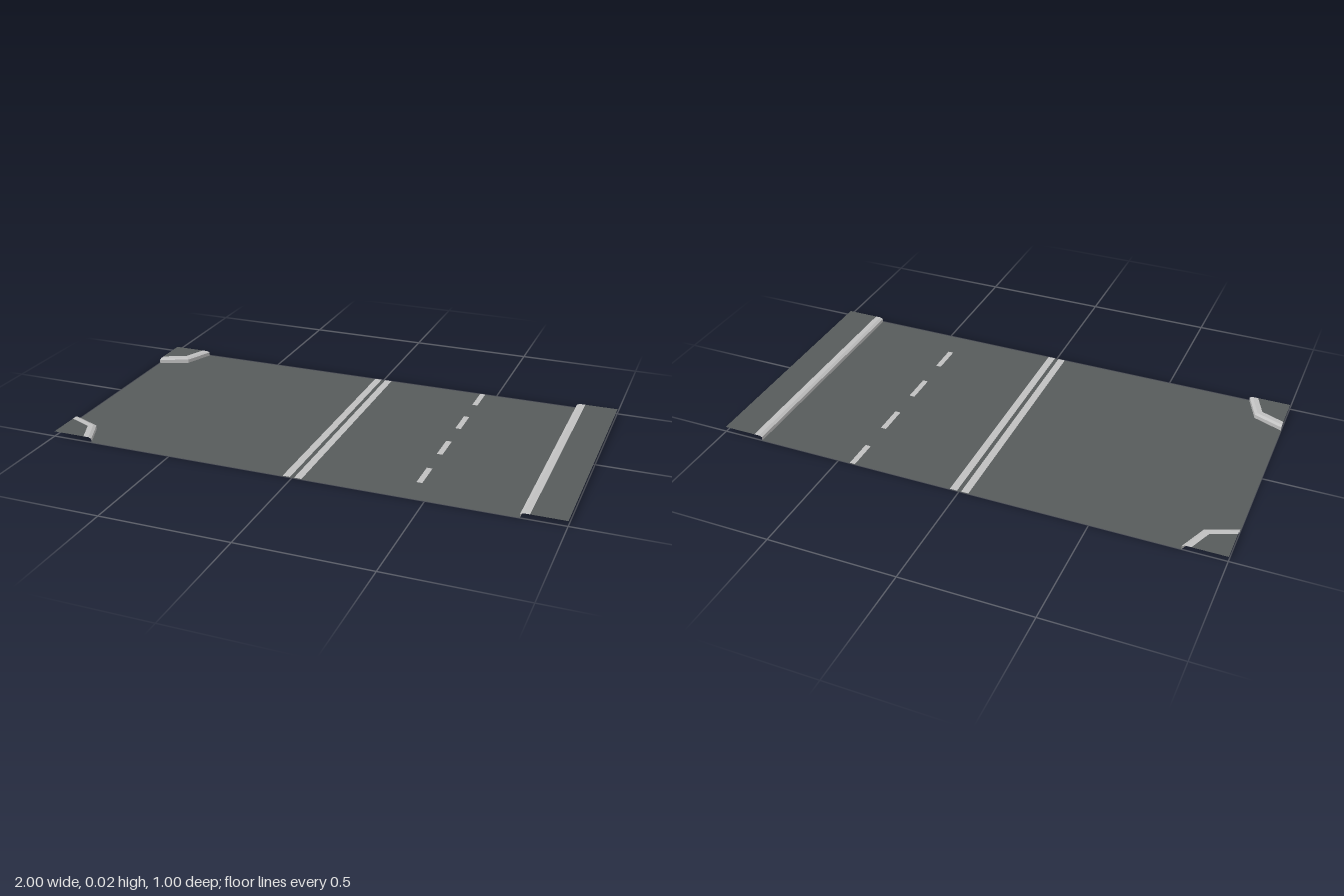
import * as THREE from 'three';

// Kerb profile: distance from the outer corner or edge, and height
const KERB = [[0.164, 0], [0.164, 0.015], [0.152, 0.02], [0.13, 0.02]];

export function createModel() {
  const group = new THREE.Group();
  const asphalt = new THREE.MeshStandardMaterial({ name: 'asphalt', color: 0x575b5b, side: THREE.DoubleSide });
  const paleGrey = new THREE.MeshStandardMaterial({ name: 'paleGrey', color: 0xc0c0c0, side: THREE.DoubleSide });

  const add = (name, geometry, material) => {
    const mesh = new THREE.Mesh(geometry, material);
    mesh.name = name;
    group.add(mesh);
    return mesh;
  };

  // Flat polygon lying at height y, outline given as [x, z]
  const flat = (name, outline, y, material) => {
    const shape = new THREE.Shape(outline.map(([x, z]) => new THREE.Vector2(x, -z)));
    const geometry = new THREE.ShapeGeometry(shape).rotateX(-Math.PI / 2).translate(0, y, 0);
    return add(name, geometry, material);
  };

  const rect = (name, x0, x1, z0, z1, y, material) =>
    flat(name, [[x0, z0], [x1, z0], [x1, z1], [x0, z1]], y, material);

  // Faceted kerb swept along a path; path(d) gives the [x, z] points at distance d
  const kerb = (name, path) => {
    const pos = [];
    for (let k = 0; k < KERB.length - 1; k++) {
      const [d0, y0] = KERB[k], [d1, y1] = KERB[k + 1];
      const a = path(d0), b = path(d1);
      for (let i = 0; i < a.length - 1; i++) {
        const p = [a[i][0], y0, a[i][1]], q = [a[i + 1][0], y0, a[i + 1][1]];
        const r = [b[i + 1][0], y1, b[i + 1][1]], s = [b[i][0], y1, b[i][1]];
        pos.push(...p, ...q, ...r, ...p, ...r, ...s);
      }
    }
    const geometry = new THREE.BufferGeometry();
    geometry.setAttribute('position', new THREE.Float32BufferAttribute(pos, 3));
    geometry.computeVertexNormals();
    add(name, geometry, paleGrey);
  };

  // Two-segment quarter ring around a corner at x = -1, z = side * 0.5
  const corner = (d, side) => {
    const h = d * Math.SQRT1_2;
    const points = [[-1, side * (0.5 - d)], [-1 + h, side * (0.5 - h)], [-1 + d, side * 0.5]];
    return side > 0 ? points : points.reverse();
  };
  const straight = (d) => [[1 - d, -0.5], [1 - d, 0.5]];

  const [outer] = KERB[0];
  const [inner, top] = KERB[KERB.length - 1];

  // Road surface with cut corners
  flat('road', [...corner(outer, 1), [1 - outer, 0.5], [1 - outer, -0.5], ...corner(outer, -1)], 0, asphalt);

  // Raised pavement along the side and in both corners
  rect('sidePavement', 1 - inner, 1, -0.5, 0.5, top, asphalt);
  kerb('sideKerb', straight);
  for (const side of [1, -1]) {
    const label = side > 0 ? 'front' : 'back';
    flat(label + 'CornerPavement', [...corner(inner, side), [-1, side * 0.5]], top, asphalt);
    kerb(label + 'CornerKerb', (d) => corner(d, side));
  }

  // Painted double centre line
  rect('centreLineRight', -0.037, -0.008, -0.5, 0.5, 0.002, paleGrey);
  rect('centreLineLeft', 0.008, 0.037, -0.5, 0.5, 0.002, paleGrey);

  // Painted lane dashes
  for (let i = 0; i < 4; i++) {
    const z = -0.5 + i * 0.25;
    rect('laneDash', 0.43, 0.452, z, z + 0.125, 0.002, paleGrey);
  }

  // Make every flat and kerb face point upwards or towards the road
  group.traverse((mesh) => {
    if (!mesh.isMesh) return;
    const g = mesh.geometry, n = g.attributes.normal;
    if (n.getY(n.count - 1) >= 0) return;
    const flipped = g.index ? g.toNonIndexed() : g;
    const p = flipped.attributes.position;
    for (let i = 0; i < p.count; i += 3) {
      const v = [p.getX(i), p.getY(i), p.getZ(i)];
      p.setXYZ(i, p.getX(i + 1), p.getY(i + 1), p.getZ(i + 1));
      p.setXYZ(i + 1, ...v);
    }
    flipped.computeVertexNormals();
    mesh.geometry = flipped;
  });
  return group;
}
